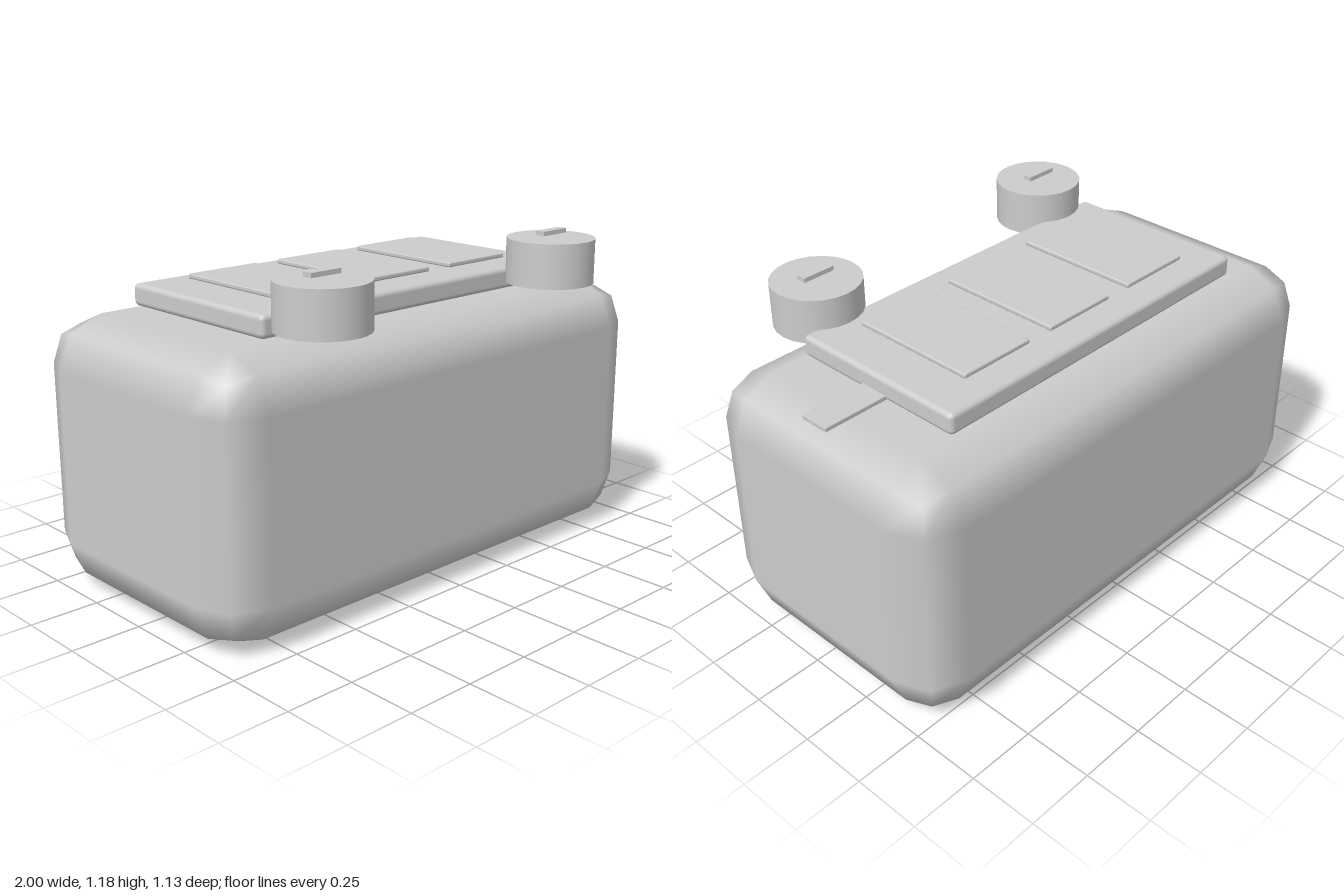
import * as THREE from 'three';
import { RoundedBoxGeometry } from 'three/addons/geometries/RoundedBoxGeometry.js';

export function createModel() {
  const model = new THREE.Group();
  const grey = new THREE.MeshStandardMaterial({ color: 0xcccccc });
  grey.name = 'plain grey';

  const add = (name, geometry, x, y, z, parent = model) => {
    const mesh = new THREE.Mesh(geometry, grey);
    mesh.name = name;
    mesh.position.set(x, y, z);
    parent.add(mesh);
    return mesh;
  };

  // Chunky body with coarsely rounded edges
  add('body', new RoundedBoxGeometry(2, 0.955, 1.045, 1, 0.173), 0, 0.4775, -0.0425);

  // Raised plate on top, with a thin tab sticking out at one end
  add('topPlate', new RoundedBoxGeometry(1.405, 0.078, 0.69, 2, 0.018), 0, 1.002, -0.043);
  add('sideTab', new RoundedBoxGeometry(0.26, 0.016, 0.11, 1, 0.003), 0.816, 0.975, -0.042);

  // Three panels hovering just above the plate
  for (const x of [-0.397, -0.002, 0.393]) {
    add('panel', new RoundedBoxGeometry(0.295, 0.018, 0.48, 2, 0.006), x, 1.058, -0.045);
  }

  // Two round caps at the front corners, each with a small grip bar
  for (const x of [-0.548, 0.546]) {
    const cap = new THREE.Group();
    cap.name = 'cap';
    cap.position.set(x, 0, 0.407);
    model.add(cap);
    add('capDrum', new THREE.CylinderGeometry(0.158, 0.158, 0.16, 24), 0, 1.07, 0, cap);
    add('capGrip', new THREE.BoxGeometry(0.124, 0.016, 0.037), 0, 1.17, 0, cap);
  }

  return model;
}
